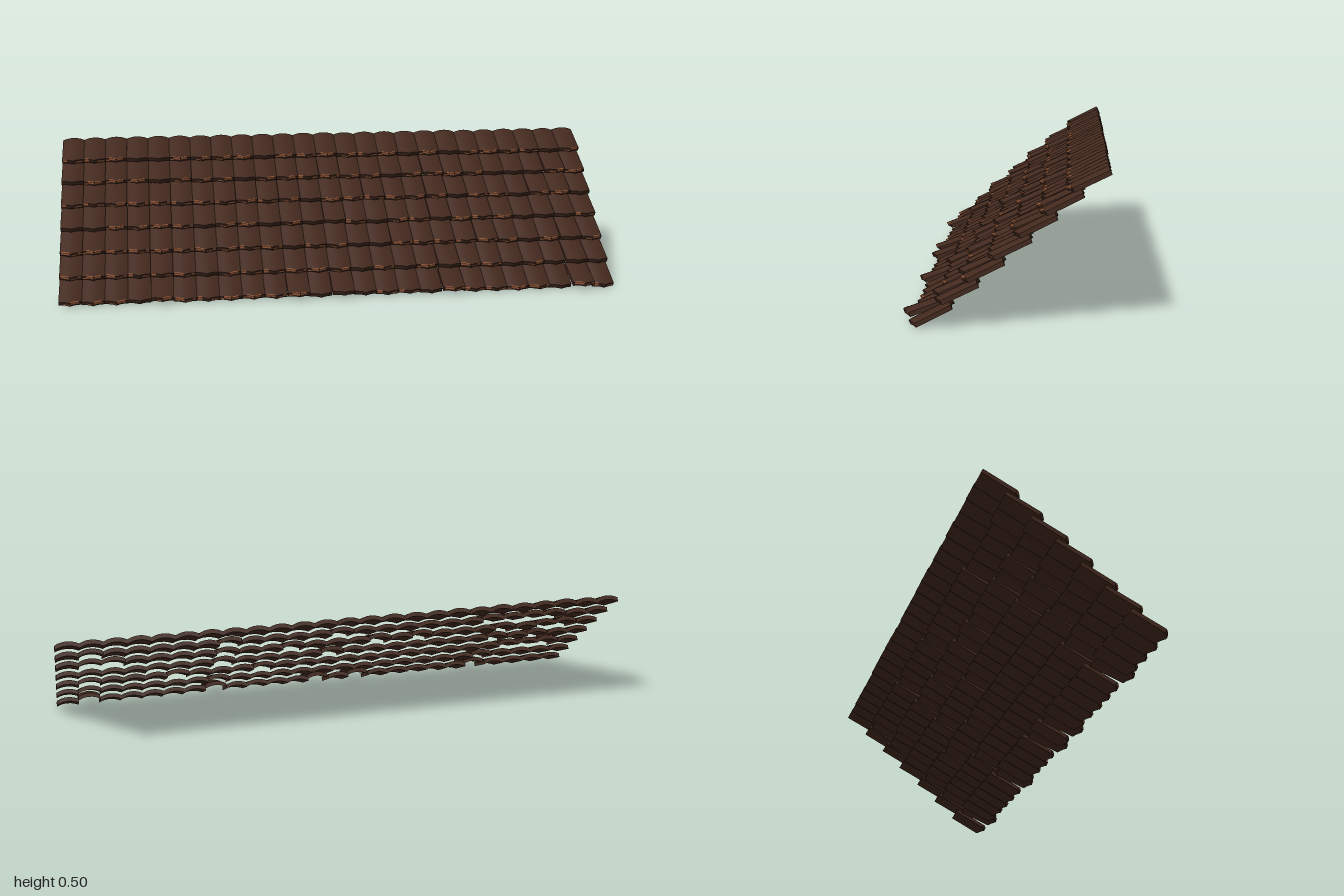
import * as THREE from 'three';
import { mergeGeometries } from 'three/addons/utils/BufferGeometryUtils.js';

const COLS = 25, ROWS = 7, W = 0.08, LEN = 0.144;
const THICK = 0.015, ARCH = 0.01, POINT = 0.019;

// Bows a flat plate into an arch and draws its front edge to a point
function bend(geo) {
  const p = geo.attributes.position;
  for (let i = 0; i < p.count; i++) {
    const u = Math.min(1, Math.abs(p.getX(i)) / (W / 2));
    p.setY(i, p.getY(i) - ARCH * u * u);
    if (p.getZ(i) > LEN / 2) p.setZ(i, p.getZ(i) - POINT * u);
  }
  geo.computeVertexNormals();
  return geo;
}

// Plate whose origin is the crown of its back edge
function tileGeometry() {
  return bend(new THREE.BoxGeometry(W, THICK, LEN, 6, 1, 1).translate(0, -THICK / 2, LEN / 2));
}

// Thin chipped strips along the front lip; each is [x, y, width, height]
function chipGeometry(strips) {
  return mergeGeometries(strips.map(([x, y, width, height]) =>
    bend(new THREE.BoxGeometry(width, height, 0.005, 2, 1, 1).translate(x, y, LEN - 0.001))));
}

function seeded(seed) {
  return () => {
    seed = (seed * 16807) % 2147483647;
    return seed / 2147483647;
  };
}

export function createModel() {
  const group = new THREE.Group();
  group.name = 'roofTiles';

  const clay = new THREE.MeshStandardMaterial({ color: 0x42281d });
  clay.name = 'dark brown clay';
  const edge = new THREE.MeshStandardMaterial({ color: 0x38221a });
  edge.name = 'shaded edge brown';
  const chipped = new THREE.MeshStandardMaterial({ color: 0xa8643f });
  chipped.name = 'chipped orange clay';

  const tile = tileGeometry();
  const tileMaterials = [clay, clay, clay, clay, edge, clay];
  const chips = [
    [[-0.02, -0.003, 0.03, 0.008], [0.012, -0.009, 0.018, 0.004], [0.031, -0.004, 0.012, 0.007]],
    [[0.017, -0.003, 0.028, 0.008], [-0.012, -0.01, 0.02, 0.004]],
    [[-0.013, -0.003, 0.024, 0.008], [0.015, -0.003, 0.022, 0.007], [-0.031, -0.009, 0.012, 0.005]],
    [[-0.029, -0.004, 0.016, 0.009], [0.024, -0.008, 0.024, 0.005]],
  ].map(chipGeometry);

  const rand = seeded(4217);
  const slippedColumns = [-8, -2, 0, 5, 11];

  for (let r = 0; r < ROWS; r++) {
    const row = new THREE.Group();
    row.name = 'tileRow' + (r + 1);
    row.position.set(0, 0.085 + 0.069 * r, 0.17 - 0.08 * r);
    group.add(row);

    for (let c = 0; c < COLS; c++) {
      const k = c - (COLS - 1) / 2;
      const chance = rand();
      // Some tiles have slipped forward and lie flatter
      const slipped = r === 0 ? slippedColumns.includes(k)
        : r < ROWS - 1 && chance < (slippedColumns.includes(k) ? 0.75 : 0.2);
      const holder = new THREE.Group();
      holder.name = 'tile';
      holder.position.set(k * W, -0.002 * rand(), 0.004 * (rand() - 0.5));
      holder.rotation.x = THREE.MathUtils.degToRad(26 + 1.5 * rand());
      if (slipped) {
        holder.position.z = r === 0 ? 0.019 : 0.011;
        holder.rotation.x = THREE.MathUtils.degToRad(r === 0 ? 21 : 24.3);
      }
      const body = new THREE.Mesh(tile, tileMaterials);
      body.name = 'tileBody';
      holder.add(body);

      // Chipped front lip
      if (rand() < 0.7) {
        const chip = new THREE.Mesh(chips[Math.floor(rand() * chips.length)], chipped);
        chip.name = 'chippedEdge';
        holder.add(chip);
      }
      row.add(holder);
    }
  }
  return group;
}
